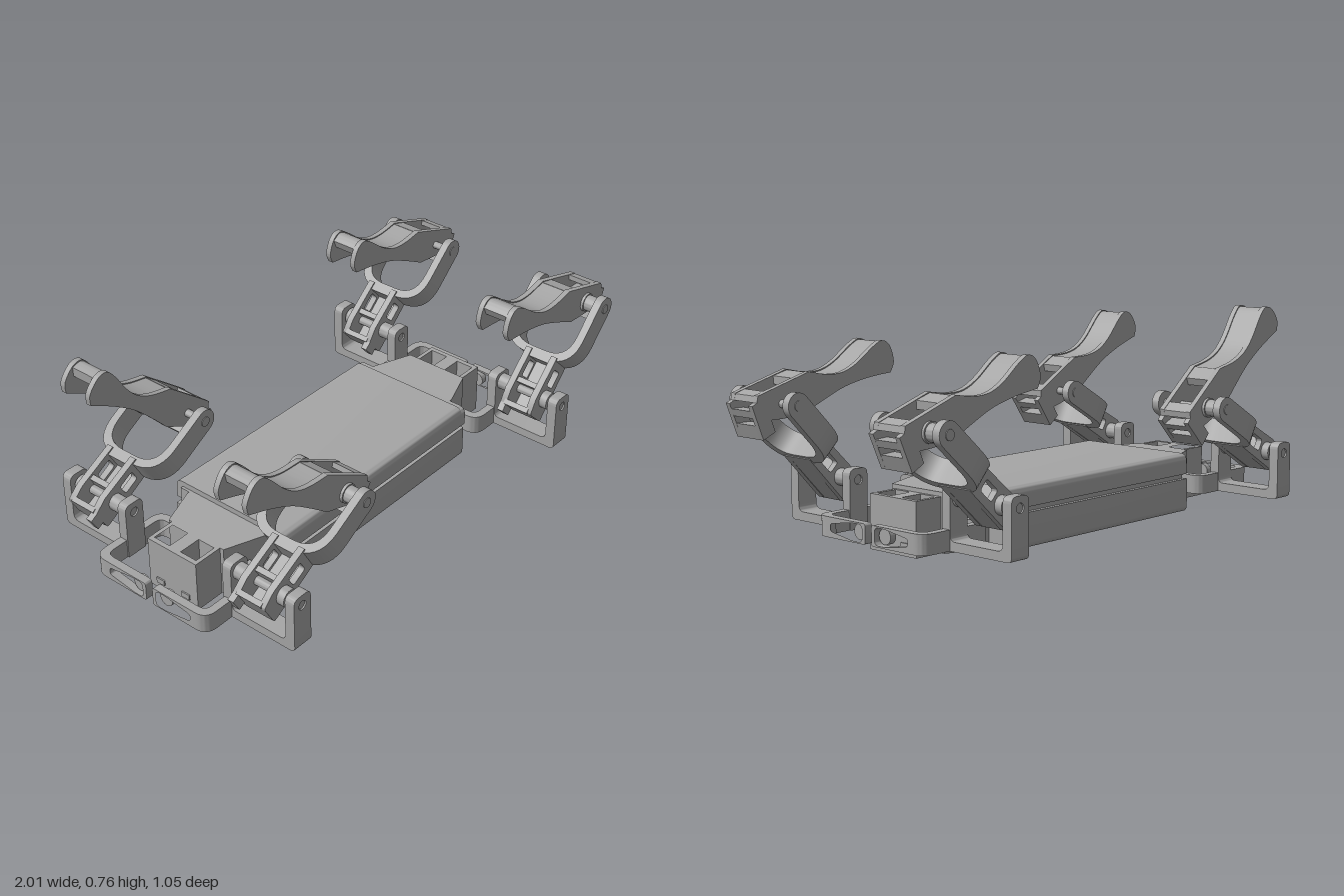
import * as THREE from 'three';
import { toCreasedNormals } from 'three/addons/utils/BufferGeometryUtils.js';

const gray = new THREE.MeshStandardMaterial({ color: 0xa6a6a6 });
gray.name = 'matte gray';

function add(parent, name, geo) {
  const mesh = new THREE.Mesh(toCreasedNormals(geo, 0.6), gray);
  mesh.name = name;
  parent.add(mesh);
  return mesh;
}

// Closed outline from [x, y, cornerRadius] points
function outline(pts, Type = THREE.Shape) {
  const path = new Type();
  const n = pts.length;
  const V = (p) => new THREE.Vector2(p[0], p[1]);
  pts.forEach((p, i) => {
    const c = V(p), r = p[2] || 0;
    const a = V(pts[(i + n - 1) % n]).sub(c).setLength(r).add(c);
    const b = V(pts[(i + 1) % n]).sub(c).setLength(r).add(c);
    if (i === 0) path.moveTo(a.x, a.y); else path.lineTo(a.x, a.y);
    if (r) path.quadraticCurveTo(c.x, c.y, b.x, b.y);
  });
  path.closePath();
  return path;
}

function circle(x, y, r) {
  return new THREE.Path().absarc(x, y, r, 0, Math.PI * 2, true);
}

// Extrusions along each axis between two coordinates
function alongZ(shape, a, b) {
  const g = new THREE.ExtrudeGeometry(shape, { depth: Math.abs(b - a), bevelEnabled: false, curveSegments: 10 });
  return g.translate(0, 0, Math.min(a, b));
}
const alongX = (shape, a, b) => alongZ(shape, a, b).rotateY(Math.PI / 2);  // shape is (-z, y)
const alongY = (shape, a, b) => alongZ(shape, a, b).rotateX(-Math.PI / 2); // shape is (x, -z)

function box(x0, x1, y0, y1, z0, z1) {
  return new THREE.BoxGeometry(Math.abs(x1 - x0), Math.abs(y1 - y0), Math.abs(z1 - z0))
    .translate((x0 + x1) / 2, (y0 + y1) / 2, (z0 + z1) / 2);
}

function pin(x, y, r, z0, z1) {
  return new THREE.CylinderGeometry(r, r, Math.abs(z1 - z0), 28)
    .rotateX(Math.PI / 2).translate(x, y, (z0 + z1) / 2);
}

function buildBody(root) {
  const body = new THREE.Group();
  body.name = 'body';
  root.add(body);
  add(body, 'lowerTray', alongX(outline([[-0.245, 0, 0.025], [0.245, 0, 0.025], [0.245, 0.125], [-0.245, 0.125]]), -0.62, 0.38));
  add(body, 'seam', box(-0.61, 0.37, 0.12, 0.15, -0.23, 0.23));
  add(body, 'lid', alongX(outline([[-0.25, 0.145], [0.25, 0.145], [0.25, 0.22, 0.03], [-0.25, 0.22, 0.03]]), -0.61, 0.36));
  add(body, 'lidLip', alongX(outline([[-0.25, 0.145], [0.25, 0.145], [0.25, 0.215, 0.03], [-0.25, 0.215, 0.03]]), 0.36, 0.38));

  // Tapered ends and motor pockets, mirrored about the body middle
  for (const d of [-1, 1]) {
    const X = (v) => -0.12 + d * v;
    const top = d > 0 ? 0.215 : 0.2;
    add(body, 'taperedEnd', alongY(outline([
      [X(0.48), -0.18], [X(0.51), -0.18], [X(0.655), -0.125], [X(0.655), 0.125], [X(0.51), 0.18], [X(0.48), 0.18],
    ]), 0.01, top));
    const frame = outline([[X(0.65), -0.11], [X(0.77), -0.11], [X(0.77), 0.11], [X(0.65), 0.11]]);
    for (const s of [-1, 1]) {
      frame.holes.push(outline([[X(0.667), s * 0.025], [X(0.752), s * 0.025], [X(0.752), s * 0.095], [X(0.667), s * 0.095]], THREE.Path));
    }
    add(body, 'motorPockets', alongY(frame, 0.01, 0.2));
    for (const s of [-1, 1]) {
      add(body, 'motorCable', box(X(0.765), X(0.775), 0.035, 0.055, s * 0.04, s * 0.075));
      add(body, 'sideRib', box(X(0.48), X(0.5), 0.01, 0.2, s * 0.17, s * 0.22));
    }
  }
}

// Swinging shoulder frame with an upright fork for the hip
function buildShoulder(root, d, s) {
  const g = new THREE.Group();
  g.name = 'shoulder';
  g.position.x = -0.12 + d * 0.72;
  root.add(g);
  const P = (x, z, r) => [d * x, -s * z, r];
  add(g, 'shoulderFrame', alongY(outline([
    P(0.16, 0.19), P(0.16, 0.255, 0.05), P(-0.15, 0.255, 0.05), P(-0.15, 0.16),
    P(-0.12, 0.16), P(-0.12, 0.225, 0.03), P(0.13, 0.225, 0.03), P(0.13, 0.19),
  ]), 0.055, 0.125));

  // End plate with the horn-shaped slot
  const Q = (z, y, r) => [-s * z, y, r];
  const plate = outline([Q(0.015, 0.055, 0.01), Q(0.19, 0.055), Q(0.19, 0.125), Q(0.015, 0.125, 0.01)]);
  plate.holes.push(outline([
    Q(0.03, 0.06, 0.018), Q(0.075, 0.06, 0.015), Q(0.185, 0.077, 0.012), Q(0.185, 0.103, 0.012),
    Q(0.075, 0.12, 0.015), Q(0.03, 0.12, 0.018),
  ], THREE.Path));
  add(g, 'endPlate', alongX(plate, d * 0.13, d * 0.16));
  add(g, 'motorAxle', pin(0, 0, 0.027, -0.012, 0.012).rotateY(Math.PI / 2).translate(d * 0.13, 0.09, s * 0.06));

  // Upright fork
  add(g, 'forkBase', alongX(outline([
    Q(0.22, 0.12), Q(0.22, 0.055), Q(0.525, 0.055, 0.02), Q(0.525, 0.12),
    Q(0.487, 0.12), Q(0.487, 0.087, 0.025), Q(0.257, 0.087, 0.02), Q(0.257, 0.12),
  ]), -0.04, 0.04));
  const post = outline([[-0.04, 0.12], [0.04, 0.12], [0.04, 0.265, 0.025], [-0.04, 0.265, 0.025]]);
  post.holes.push(circle(0, 0.225, 0.017));
  add(g, 'innerPost', alongZ(post, s * 0.22, s * 0.257));
  add(g, 'outerPost', alongZ(post, s * 0.487, s * 0.525));
  add(g, 'hipPin', pin(0, 0.225, 0.016, s * 0.225, s * 0.52));
  add(g, 'hipHub', pin(0, 0.225, 0.033, s * 0.445, s * 0.475));
  add(g, 'hipHub', pin(0, 0.225, 0.03, s * 0.257, s * 0.31));
}

// Upper leg along local x, ending in a round yoke at the knee
function buildUpperLeg(leg, s) {
  const cheek = outline([[-0.08, -0.05, 0.01], [0.15, -0.047], [0.15, 0.05], [-0.02, 0.055], [-0.08, 0.04, 0.01]]);
  cheek.holes.push(outline([[0.045, -0.02, 0.01], [0.11, -0.02, 0.01], [0.11, 0.025, 0.01], [0.045, 0.025, 0.01]], THREE.Path));
  add(leg, 'upperLegCheek', alongZ(cheek, s * -0.045, s * -0.02));
  add(leg, 'upperLegCheek', alongZ(cheek, s * 0.065, s * 0.09));
  add(leg, 'upperLegFloor', box(-0.08, 0.15, -0.047, -0.03, s * -0.03, s * 0.075));
  for (const [a, b] of [[-0.08, -0.06], [0.015, 0.035], [0.12, 0.15]]) {
    add(leg, 'upperLegBridge', box(a, b, -0.04, 0.045, s * -0.03, s * 0.075));
  }
  add(leg, 'upperLegStub', box(-0.108, -0.07, -0.015, 0.04, s * -0.045, s * -0.02));

  const R = (u, z, r) => [u, z, r];
  add(leg, 'kneeYoke', alongY(outline([
    R(0.39, -0.152), R(0.13, -0.152, 0.115), R(0.13, 0.152, 0.115), R(0.39, 0.152),
    R(0.39, 0.122), R(0.16, 0.122, 0.09), R(0.16, -0.122, 0.09), R(0.39, -0.122),
  ]), -0.044, 0.044));
  for (const e of [-1, 1]) {
    add(leg, 'yokeEnd', pin(0.39, 0, 0.044, e * 0.122, e * 0.152));
    add(leg, 'kneePinHead', pin(0.39, 0, 0.018, e * 0.15, e * 0.155));
  }
  add(leg, 'kneeHub', pin(0.39, 0, 0.03, s * 0.06, s * 0.123));
  add(leg, 'kneePin', pin(0.39, 0, 0.014, s * -0.123, s * 0.07));
}

// Hollow curved foot: two cheeks, a top skin and cross bars
function buildFoot(foot, s) {
  const V = (pts, dy = 0) => pts.map(([x, y]) => new THREE.Vector2(x, y + dy));
  const topCurve = [[-0.485, 0.155], [-0.45, 0.176], [-0.406, 0.158], [-0.33, 0.107], [-0.267, 0.082], [-0.2, 0.08], [-0.118, 0.096]];
  const side = new THREE.Shape();
  side.moveTo(0, -0.05);
  side.lineTo(-0.09, -0.045);
  side.splineThru(V([[-0.18, -0.005], [-0.278, 0.032], [-0.385, 0.053], [-0.487, 0.062]]));
  side.splineThru(V([[-0.503, 0.1], ...topCurve]));
  for (const [x, y] of [[0.1, 0.035], [0.105, 0.012], [0.125, 0.003], [0.08, -0.113], [0.03, -0.09], [0.045, -0.05]]) side.lineTo(x, y);
  side.closePath();
  add(foot, 'footCheek', alongZ(side, -0.068, -0.048));
  add(foot, 'footCheek', alongZ(side, 0.048, 0.068));

  const skin = new THREE.Shape();
  skin.moveTo(-0.485, 0.151);
  skin.splineThru(V(topCurve.slice(1), -0.004));
  skin.lineTo(-0.118, 0.066);
  skin.splineThru(V([...topCurve].reverse().slice(1, -1), -0.032));
  skin.lineTo(-0.47, 0.12);
  skin.closePath();
  add(foot, 'footSkin', alongZ(skin, -0.05, 0.05));

  const bars = [
    [[-0.12, 0.066], [-0.12, 0.093], [-0.06, 0.078], [-0.06, 0.05]],
    [[0.06, 0.025], [0.06, 0.045], [0.1, 0.033], [0.105, 0.012]],
    [[0.06, -0.04], [0.068, -0.015], [0.118, -0.015], [0.108, -0.04]],
    [[0.03, -0.09], [0.04, -0.065], [0.098, -0.065], [0.08, -0.113]],
  ];
  for (const b of bars) add(foot, 'footCrossBar', alongZ(outline(b), -0.05, 0.05));
  add(foot, 'kneeBoss', pin(0, 0, 0.035, s * 0.066, s * 0.078));
}

export function createModel() {
  const root = new THREE.Group();
  root.name = 'walkingRobot';
  buildBody(root);

  // End, side, upper leg angle and foot turn in degrees
  const poses = [[-1, 1, 30, -14], [-1, -1, 30, -23], [1, 1, 46, 0], [1, -1, 42, -3]];
  for (const [d, s, hip, turn] of poses) {
    buildShoulder(root, d, s);
    const leg = new THREE.Group();
    leg.name = 'leg';
    leg.position.set(-0.12 + d * 0.72, 0.225, s * 0.355);
    leg.rotation.z = THREE.MathUtils.degToRad(hip);
    root.add(leg);
    buildUpperLeg(leg, s);

    const foot = new THREE.Group();
    foot.name = 'foot';
    foot.position.x = 0.39;
    foot.rotation.z = THREE.MathUtils.degToRad(turn - hip);
    leg.add(foot);
    buildFoot(foot, s);
  }
  return root;
}
